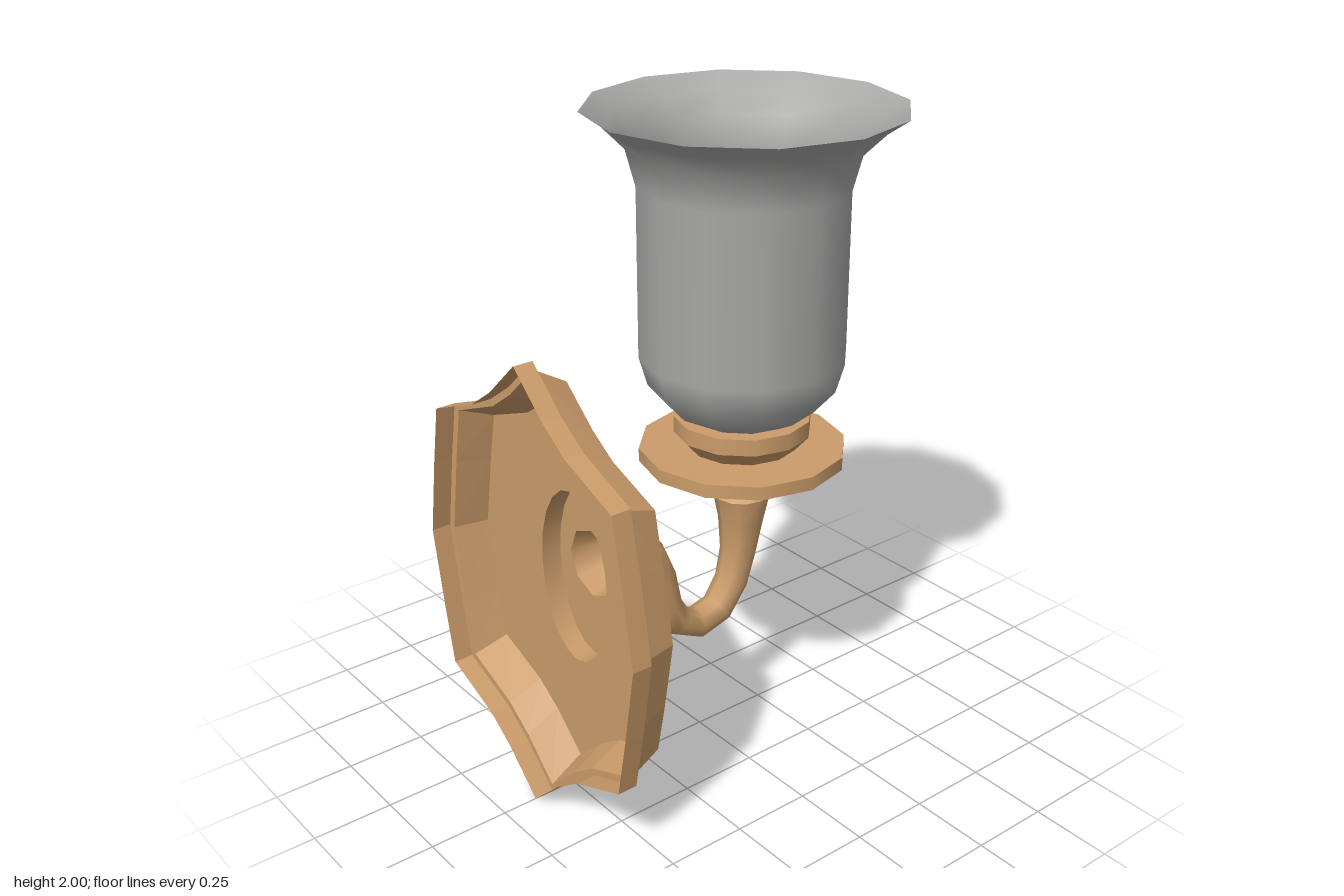
import * as THREE from 'three';

const brass = new THREE.MeshStandardMaterial({ color: 0xcb9c6a, side: THREE.DoubleSide });
brass.name = 'brass';
const glass = new THREE.MeshStandardMaterial({ color: 0xa9a9a8, side: THREE.DoubleSide });
glass.name = 'smoked glass';

const CENTRE_Y = 0.71;   // middle of the wall plate
const LAMP_Z = -0.168;   // axis of the shade

function add(parent, name, geometry, material = brass) {
  const mesh = new THREE.Mesh(geometry, material);
  mesh.name = name;
  parent.add(mesh);
  return mesh;
}

// Skin joining closed rings of equal length
function loft(rings, flat) {
  const n = rings[0].length, index = [];
  for (let i = 0; i < rings.length - 1; i++) {
    for (let j = 0; j < n; j++) {
      const k = (j + 1) % n, a = i * n, c = a + n;
      index.push(a + j, c + j, a + k, a + k, c + j, c + k);
    }
  }
  let g = new THREE.BufferGeometry().setFromPoints(rings.flat());
  g.setIndex(index);
  if (flat) g = g.toNonIndexed();
  g.computeVertexNormals();
  return g;
}

// Flat sheet with an optional hole
function sheet(outline, z, hole) {
  const shape = new THREE.Shape(outline.map(p => new THREE.Vector2(p.x, p.y)));
  if (hole) shape.holes.push(new THREE.Path(hole.map(p => new THREE.Vector2(p.x, p.y))));
  return new THREE.ShapeGeometry(shape).translate(0, 0, z);
}

// Shield outline from one mirrored quarter, anticlockwise
function shield(sx, sy, z) {
  const quarter = [[0.515, 0], [0.472, 0.25], [0.435, 0.437], [0.23, 0.52], [0.13, 0.59], [0, 0.71]];
  const right = [...quarter.slice(1).reverse().map(([x, y]) => [x, -y]), ...quarter];
  const left = right.slice(1, -1).reverse().map(([x, y]) => [-x, y]);
  return [...right, ...left].map(([x, y]) => new THREE.Vector3(x * sx, CENTRE_Y + y * sy, z));
}

function ellipse(rx, ry, y, z, sides) {
  return Array.from({ length: sides }, (_, i) => {
    const a = i / sides * Math.PI * 2;
    return new THREE.Vector3(Math.cos(a) * rx, y + Math.sin(a) * ry, z);
  });
}

// One smooth band of a turned part; separate bands keep sharp edges
function turned(parent, name, profile, material) {
  const g = new THREE.LatheGeometry(profile.map(([r, y]) => new THREE.Vector2(r, y)), 12);
  add(parent, name, g, material).position.z = LAMP_Z;
}

export function createModel() {
  const model = new THREE.Group();
  model.name = 'wallLamp';

  // Hollow wall plate: rim, ledge, bevel and face
  const plate = new THREE.Group();
  plate.name = 'wallPlate';
  model.add(plate);
  const bossRing = z => ellipse(0.165, 0.28, CENTRE_Y, z, 20);
  const face = shield(0.91, 0.875, 0.47);
  add(plate, 'plateRim', loft([shield(1, 1, 0.64), shield(1, 1, 0.578)], true));
  add(plate, 'plateLedge', loft([shield(1, 1, 0.578), shield(0.95, 0.965, 0.578)], true));
  add(plate, 'plateBevel', loft([shield(0.95, 0.965, 0.578), face], true));
  add(plate, 'plateFace', sheet(face, 0.47, bossRing(0.47)));

  // Oval boss, open at the back
  add(plate, 'bossWall', loft([bossRing(0.47), bossRing(0.405)]));
  add(plate, 'bossFace', sheet(bossRing(0.405), 0.405, ellipse(0.108, 0.108, 0.735, 0, 8)));

  // Curved hollow arm: z, y, radius
  const path = [
    [0.405, 0.735, 0.108], [0.3, 0.738, 0.08], [0.245, 0.72, 0.068], [0.195, 0.68, 0.06],
    [0.16, 0.61, 0.054], [0.13, 0.49, 0.05], [0.085, 0.42, 0.05], [0.015, 0.387, 0.052],
    [-0.07, 0.41, 0.052], [-0.128, 0.49, 0.053], [-0.155, 0.59, 0.057], [-0.165, 0.7, 0.071],
    [-0.167, 0.79, 0.09],
  ];
  const centres = path.map(([z, y]) => new THREE.Vector3(0, y, z));
  const armRings = path.map(([, , r], i) => {
    const t = centres[Math.min(i + 1, path.length - 1)].clone().sub(centres[Math.max(i - 1, 0)]);
    if (i === 0) t.set(0, 0, -1);
    if (i === path.length - 1) t.set(0, 1, 0);
    const x = new THREE.Vector3(1, 0, 0);
    const n = x.clone().cross(t.normalize());
    return Array.from({ length: 8 }, (_, j) => {
      const a = j / 8 * Math.PI * 2;
      return centres[i].clone().addScaledVector(x, Math.cos(a) * r).addScaledVector(n, Math.sin(a) * r);
    });
  });
  add(model, 'arm', loft(armRings));

  // Turned socket, drip dish and cup
  const holder = new THREE.Group();
  holder.name = 'holder';
  model.add(holder);
  turned(holder, 'armCollar', [[0.09, 0.79], [0.05, 0.825]]);
  turned(holder, 'neck', [[0.05, 0.825], [0.05, 0.855]]);
  turned(holder, 'dishUnderside', [[0.05, 0.85], [0.16, 0.878], [0.32, 0.92]]);
  turned(holder, 'dishEdge', [[0.32, 0.92], [0.32, 0.962]]);
  turned(holder, 'dishTop', [[0.32, 0.962], [0.17, 0.962]]);
  turned(holder, 'cupFlare', [[0.17, 0.962], [0.212, 1.01]]);
  turned(holder, 'cupBand', [[0.212, 1.01], [0.212, 1.062]]);
  turned(holder, 'cupTop', [[0.212, 1.062], [0, 1.062]]);

  // Bell-mouthed glass shade, open at both ends
  turned(model, 'shade', [
    [0.168, 1.064], [0.225, 1.095], [0.29, 1.17], [0.316, 1.26], [0.316, 1.78],
    [0.345, 1.89], [0.41, 1.955], [0.474, 2],
  ], glass);

  return model;
}
